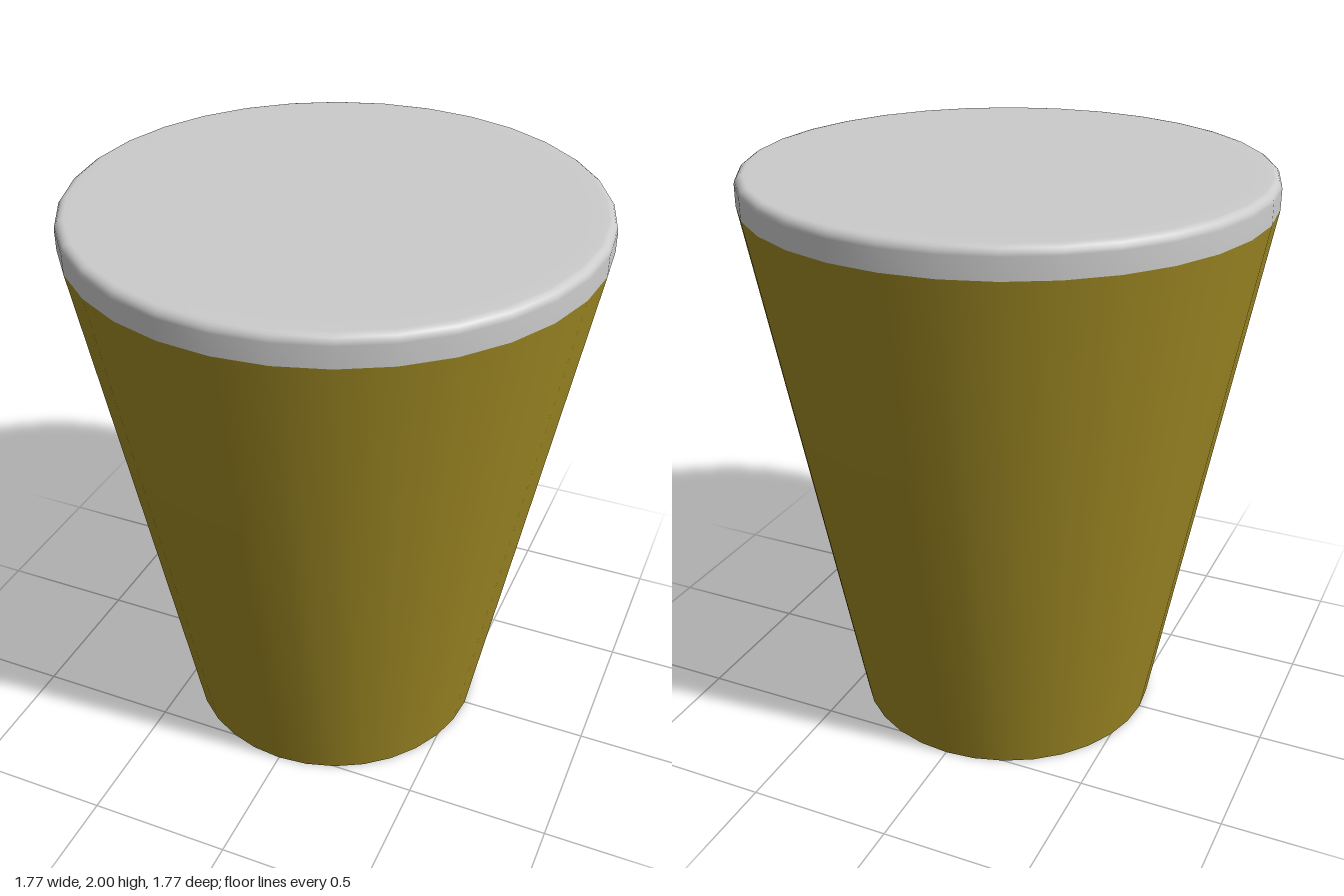
import * as THREE from 'three';

const SIDES = 32;

// Revolve a list of [radius, height] points around y
function lathe(name, points, material) {
  const profile = points.map(([r, y]) => new THREE.Vector2(r, y));
  const mesh = new THREE.Mesh(new THREE.LatheGeometry(profile, SIDES), material);
  mesh.name = name;
  return mesh;
}

export function createModel() {
  const group = new THREE.Group();
  group.name = 'taperedCup';
  const gold = new THREE.MeshStandardMaterial({ color: 0xa08a24, side: THREE.DoubleSide });
  const grey = new THREE.MeshStandardMaterial({ color: 0xcccccc });

  const lidBase = 1.9, lidRadius = 0.883, bevel = 0.03;

  // Hollow tapered wall, open at the bottom, softly shaded around the lower rim
  group.add(lathe('cupWall', [
    [lidRadius - 0.045, lidBase],
    [0.495, 0],
    [0.54, 0],
    [lidRadius, lidBase],
  ], gold));

  // Lid: upright side, rounded top edge, flat top
  const lidProfile = [[lidRadius, lidBase]];
  for (let i = 0; i <= 4; i++) {
    const a = (i / 4) * Math.PI / 2;
    lidProfile.push([
      lidRadius - bevel + bevel * Math.cos(a),
      2 - bevel + bevel * Math.sin(a),
    ]);
  }
  lidProfile.push([0.8, 2], [0, 2]);
  group.add(lathe('lid', lidProfile, grey));

  // Underside of the lid, closing the hollow
  const underside = new THREE.Mesh(new THREE.CircleGeometry(lidRadius, SIDES), grey);
  underside.name = 'lidUnderside';
  underside.rotation.x = Math.PI / 2;
  underside.position.y = lidBase;
  group.add(underside);

  return group;
}
